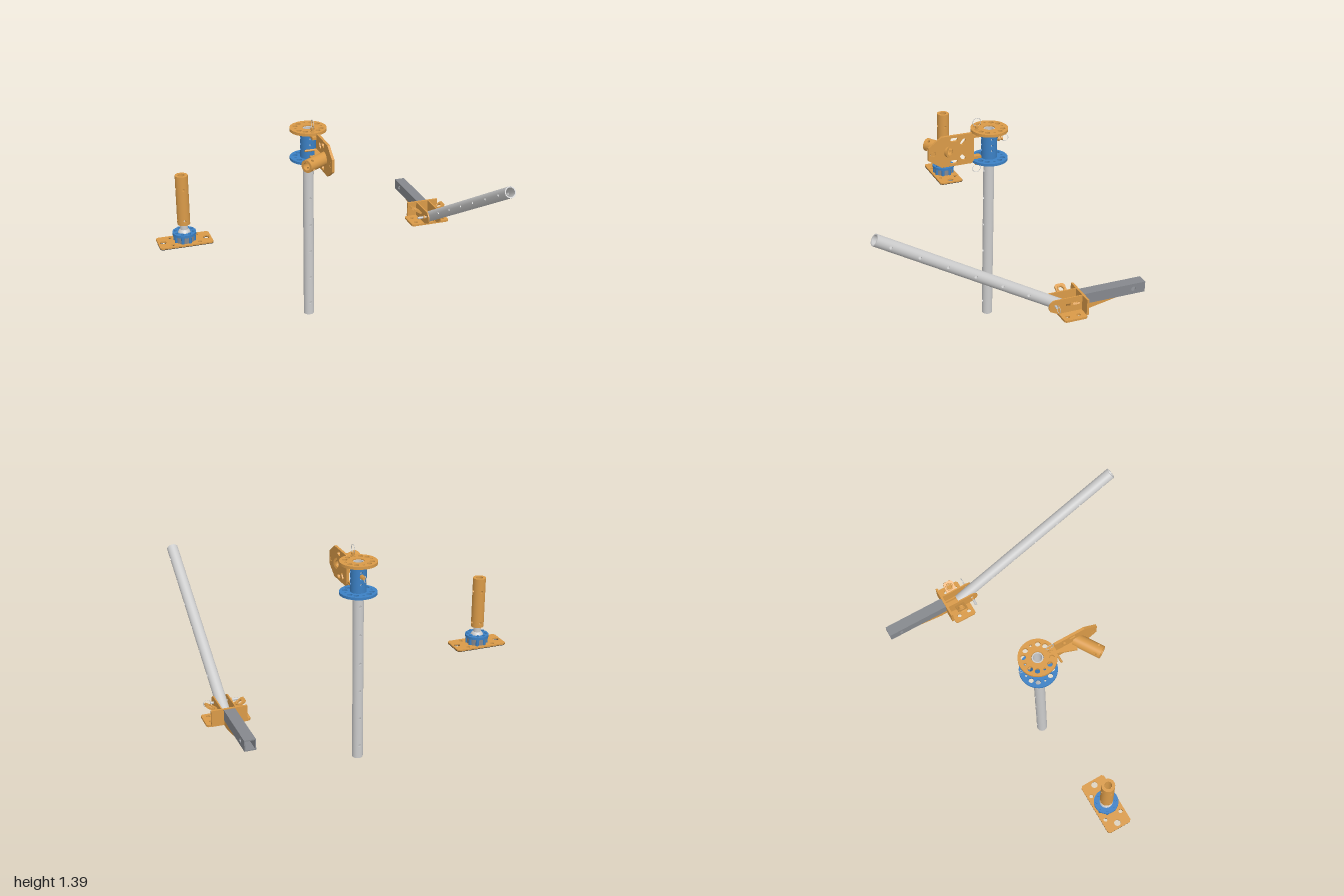
import * as THREE from 'three';
import { mergeGeometries } from 'three/addons/utils/BufferGeometryUtils.js';

const mat = (color) => new THREE.MeshStandardMaterial({ color, side: THREE.DoubleSide });
const STEEL = mat(0xcccccc), DARK = mat(0x85888d), ORANGE = mat(0xd99a48), BLUE = mat(0x3b80c4), BLACK = mat(0x2a2a2a);
const PI = Math.PI;

// Surface patch on a cylinder: f(u, v) gives [angle, height, radius]
function patch(nu, nv, f, radial = true) {
  const pos = [], nor = [], idx = [];
  for (let j = 0; j <= nv; j++) for (let i = 0; i <= nu; i++) {
    const [a, y, r] = f(i / nu, j / nv);
    pos.push(r * Math.sin(a), y, r * Math.cos(a));
    nor.push(Math.sin(a), 0, Math.cos(a));
    if (i < nu && j < nv) {
      const p = j * (nu + 1) + i, q = p + nu + 1;
      idx.push(p, p + 1, q + 1, p, q + 1, q);
    }
  }
  const g = new THREE.BufferGeometry();
  g.setAttribute('position', new THREE.Float32BufferAttribute(pos, 3));
  g.setAttribute('normal', new THREE.Float32BufferAttribute(nor, 3));
  g.setIndex(idx);
  if (!radial) g.computeVertexNormals();
  return g;
}

// Hollow tube from y = 0 to len, drilled right through at the given heights and facing angles
function tube(name, R, r, len, material, heights, hole, angles = [0, PI]) {
  const parts = [], s = hole * 1.4, w = s / R, n = angles.length;
  for (const rad of [R, r]) {
    angles.forEach((a, k) => {
      const end = k + 1 < n ? angles[k + 1] : angles[0] + 2 * PI;
      parts.push(patch(Math.ceil(40 / n), 1, (u, v) => [a + w + u * (end - a - 2 * w), v * len, rad]));
      let y0 = 0;
      for (const y of [...heights, len + s]) {
        const y1 = y - s;
        parts.push(patch(4, 1, (u, v) => [a - w + 2 * w * u, y0 + v * (y1 - y0), rad]));
        y0 = y + s;
      }
      // square patch around each hole
      for (const y of heights) parts.push(patch(2, 24, (u, v) => {
        const t = v * 2 * PI, c = Math.cos(t), d = Math.sin(t);
        const k2 = hole + u * (s / Math.max(Math.abs(c), Math.abs(d)) - hole);
        return [a + c * k2 / R, y + d * k2, rad];
      }));
    });
  }
  for (const a of angles) for (const y of heights) parts.push(patch(1, 24, (u, v) => {
    const t = v * 2 * PI;
    return [a + hole * Math.cos(t) / R, y + hole * Math.sin(t), r + u * (R - r)];
  }, false));
  for (const y of [0, len]) {
    const e = new THREE.RingGeometry(r, R, 40).rotateX(y ? -PI / 2 : PI / 2).translate(0, y, 0);
    e.deleteAttribute('uv');
    parts.push(e);
  }
  const m = new THREE.Mesh(mergeGeometries(parts), material);
  m.name = name;
  return m;
}

function add(parent, name, geometry, material, x = 0, y = 0, z = 0) {
  const m = new THREE.Mesh(geometry, material);
  m.name = name;
  m.position.set(x, y, z);
  parent.add(m);
  return m;
}
const poly = (pts) => new THREE.Shape(pts.map((p) => new THREE.Vector2(...p)));
const circle = (r) => new THREE.Shape().absarc(0, 0, r, 0, 2 * PI);
function extrude(shape, depth, holes = []) {
  for (const [x, y, r] of holes) shape.holes.push(new THREE.Path().absarc(x, y, r, 0, 2 * PI, true));
  return new THREE.ExtrudeGeometry(shape, { depth, bevelEnabled: false, curveSegments: 20 });
}
const flat = (...a) => extrude(...a).rotateX(-PI / 2); // shape y becomes -z, thickness goes up
const upright = (...a) => extrude(...a).rotateY(-PI / 2); // shape x becomes z, thickness goes to -x
const rod = (r, len, seg = 20) => new THREE.CylinderGeometry(r, r, len, seg);
const rect = (w, h, c) => poly([[-w + c, -h], [w - c, -h], [w, -h + c], [w, h - c], [w - c, h], [-w + c, h], [-w, h - c], [-w, -h + c]]);
const box = (w, h, d) => new THREE.BoxGeometry(w, h, d);
const poleHoles = Array.from({ length: 7 }, (_, i) => 0.09 + i * 0.188);

function footJack() {
  const g = new THREE.Group();
  g.name = 'footJack';
  g.position.set(-0.832, 0.65, -0.205);
  const holes = [[-0.136, 0, 0.02], [0.137, 0, 0.02]];
  for (const x of [-0.084, 0.084]) for (const z of [-0.053, 0.053]) holes.push([x, z, 0.012]);
  add(g, 'basePad', flat(rect(0.168, 0.08, 0.012), 0.003, holes), BLACK);
  add(g, 'basePlate', flat(rect(0.168, 0.08, 0.012), 0.01, holes), ORANGE, 0, 0.003);
  add(g, 'swivelBody', rod(0.062, 0.045, 32), DARK, 0, 0.035);
  add(g, 'swivelCap', flat(circle(0.074), 0.016, [[0, 0, 0.04]]), BLUE, 0, 0.056);
  for (let i = 0; i < 8; i++) {
    const a = (i + 0.5) * PI / 4, x = 0.057 * Math.cos(a), z = 0.057 * Math.sin(a);
    add(g, 'capBolt', rod(0.008, 0.01, 6), BLUE, x, 0.076, z);
    add(g, 'bodyLug', rod(0.01, 0.045, 10), BLUE, x * 1.07, 0.034, z * 1.07);
  }
  add(g, 'ballJoint', new THREE.SphereGeometry(0.042, 24, 16), STEEL, 0, 0.055);
  add(g, 'shaft', rod(0.024, 0.08), STEEL, 0, 0.1);
  const sleeve = tube('sleeve', 0.04, 0.022, 0.325, ORANGE, [0.03, 0.24], 0.009, [0, PI / 2, PI, 1.5 * PI]);
  sleeve.position.y = 0.125;
  g.add(sleeve);
  return g;
}

function ringPin(parent, x, y, z, dir, ring) {
  const g = new THREE.Group();
  g.name = 'ringPin';
  g.position.set(x, y, z);
  g.quaternion.setFromUnitVectors(new THREE.Vector3(0, 1, 0), new THREE.Vector3(...dir));
  add(g, 'pinShaft', rod(0.008, 0.06, 12), ORANGE);
  add(g, 'pinCollar', rod(0.014, 0.012, 16), ORANGE, 0, 0.005);
  add(g, 'pinHead', rod(0.011, 0.012, 16), ORANGE, 0, 0.026);
  add(g, 'pullRing', new THREE.TorusGeometry(ring, 0.0018, 6, 32).rotateY(PI / 2), STEEL, 0, 0.03 + ring);
  parent.add(g);
}

function post() {
  const g = new THREE.Group();
  g.name = 'post';
  g.position.set(-0.02, 0, -0.203);
  g.add(tube('pole', 0.034, 0.027, 1.308, STEEL, poleHoles, 0.009));
  const collar = tube('collar', 0.05, 0.036, 0.18, BLUE, [0.055, 0.09, 0.13], 0.008, [0, PI / 2, PI, 1.5 * PI]);
  collar.position.y = 1.12;
  g.add(collar);
  // rosette discs with a ring of large and small holes
  const holes = [[0, 0, 0.036]];
  for (let i = 0; i < 12; i++) {
    const small = i % 3 === 0, a = i * PI / 6;
    holes.push([0.083 * Math.cos(a), 0.083 * Math.sin(a), small ? 0.008 : 0.016]);
  }
  add(g, 'topDisc', flat(circle(0.116), 0.018, holes), ORANGE, 0, 1.296);
  add(g, 'lowerDisc', flat(circle(0.116), 0.016, holes), BLUE, 0, 1.105);
  ringPin(g, 0, 1.23, -0.057, [0, 0, -1], 0.02);

  // clamp plate with its angled socket
  const c = new THREE.Group();
  c.name = 'clamp';
  c.position.set(0.02, 0, 0.203);
  const outline = poly([[-0.09, 1.13], [-0.077, 1.11], [0.12, 1.11], [0.205, 1.168], [0.205, 1.25], [0.12, 1.31], [-0.077, 1.31], [-0.09, 1.29]]);
  for (const s of [-1, 1]) {
    const slot = (z, y, l, t) => {
      const p = new THREE.Path(), h = 0.012;
      p.absarc(z + l * Math.cos(t), y + l * Math.sin(t), h, t - PI / 2, t + PI / 2);
      p.absarc(z - l * Math.cos(t), y - l * Math.sin(t), h, t + PI / 2, t + 1.5 * PI);
      outline.holes.push(p);
    };
    slot(0.04, 1.21 + s * 0.073, 0.012, 0);
    slot(-0.018, 1.21 + s * 0.052, 0.01, s * -0.9);
  }
  add(c, 'clampPlate', upright(outline, 0.016, [[0.175, 1.208, 0.017], [0.07, 1.208, 0.024]]), ORANGE, 0.012);
  add(c, 'clampButton', rod(0.015, 0.014).rotateZ(PI / 2), ORANGE, 0.004, 1.208, 0.175);
  const socket = tube('socket', 0.04, 0.025, 0.18, ORANGE, [0.15], 0.009, [0, PI / 2, PI, 1.5 * PI]);
  socket.position.set(0.006, 1.208, 0.062);
  socket.quaternion.setFromUnitVectors(new THREE.Vector3(0, 1, 0), new THREE.Vector3(-0.85, 0, 0.53));
  c.add(socket);
  add(c, 'gusset', flat(poly([[0, 0.09], [0, -0.07], [-0.06, -0.04], [-0.015, 0.09]]), 0.014), ORANGE, 0, 1.2, 0);
  add(c, 'crossPin', rod(0.007, 0.075, 12).rotateZ(PI / 2), ORANGE, -0.045, 1.21, -0.078);
  for (const s of [-1, 1]) {
    add(c, 'clampTab', box(0.035, 0.016, 0.06), ORANGE, -0.012, 1.21 + s * 0.07, -0.112);
    ringPin(c, -0.018, 1.21 + s * 0.097, -0.12, [0, s, 0], 0.026);
  }
  g.add(c);
  return g;
}

function brace() {
  const g = new THREE.Group();
  g.name = 'brace';
  g.position.x = 0.866;
  const pipe = tube('bracePipe', 0.035, 0.028, 1.31, STEEL, poleHoles, 0.009, [PI / 2, 1.5 * PI]);
  pipe.position.set(0, 0.521, -0.313);
  pipe.rotation.x = PI / 3;
  g.add(pipe);

  // square tube with a cross hole
  const w = 0.034, L = 0.41;
  for (const s of [-1, 1]) {
    add(g, 'squareTubeSide', upright(poly([[-0.83, 0.525], [-0.42, 0.525], [-0.42, 0.592], [-0.83, 0.592]]), 0.006, [[-0.752, 0.559, 0.014]]), DARK, s * 0.031 + 0.003);
    add(g, 'squareTubeWall', box(2 * w, 0.006, L), DARK, 0, 0.5585 + s * 0.0305, -0.625);
    // side cheeks with a rounded nose
    const cheek = new THREE.Shape().moveTo(-0.42, 0.5).lineTo(-0.42, 0.595).lineTo(-0.24, 0.595);
    cheek.absarc(-0.24, 0.553, 0.042, PI / 2, -PI / 4, true);
    cheek.lineTo(-0.26, 0.5);
    add(g, 'cheek', upright(cheek, 0.008, [[-0.24, 0.558, 0.009]]), ORANGE, s * 0.042 + 0.004);
    add(g, 'underRib', upright(poly([[-0.26, 0.525], [-0.65, 0.525], [-0.47, 0.49], [-0.26, 0.49]]), 0.008), ORANGE, s * 0.028 + 0.004);
    // tilted ears with an eyelet
    const ear = new THREE.Group();
    ear.name = 'ear';
    ear.position.set(s * 0.083, 0.57, -0.335);
    ear.rotation.z = s * 0.55;
    add(ear, 'earPlate', flat(rect(0.045, 0.033, 0.012), 0.01, [[s * 0.008, 0, 0.017]]), ORANGE);
    add(ear, 'eyelet', new THREE.TorusGeometry(0.02, 0.005, 8, 24).rotateX(PI / 2), ORANGE, s * 0.008, 0.01, 0);
    g.add(ear);
  }
  add(g, 'footPlate', flat(rect(0.133, 0.073, 0.01), 0.013, [[-0.095, 0.03, 0.013], [0.095, 0.03, 0.013], [-0.095, -0.04, 0.013], [0.095, -0.04, 0.013]]), ORANGE, 0, 0.489, -0.334);
  add(g, 'backPlate', box(0.216, 0.1, 0.014), ORANGE, 0, 0.546, -0.417);
  add(g, 'pivotPin', rod(0.008, 0.17, 12).rotateZ(PI / 2), STEEL, -0.02, 0.558, -0.24);
  add(g, 'pivotHead', rod(0.013, 0.012, 16).rotateZ(PI / 2), ORANGE, -0.06, 0.558, -0.24);
  add(g, 'pivotRing', new THREE.TorusGeometry(0.022, 0.0018, 6, 32), STEEL, 0.085, 0.558, -0.24);
  return g;
}

export function createModel() {
  const model = new THREE.Group();
  model.name = 'propSet';
  model.add(footJack(), post(), brace());
  return model;
}
